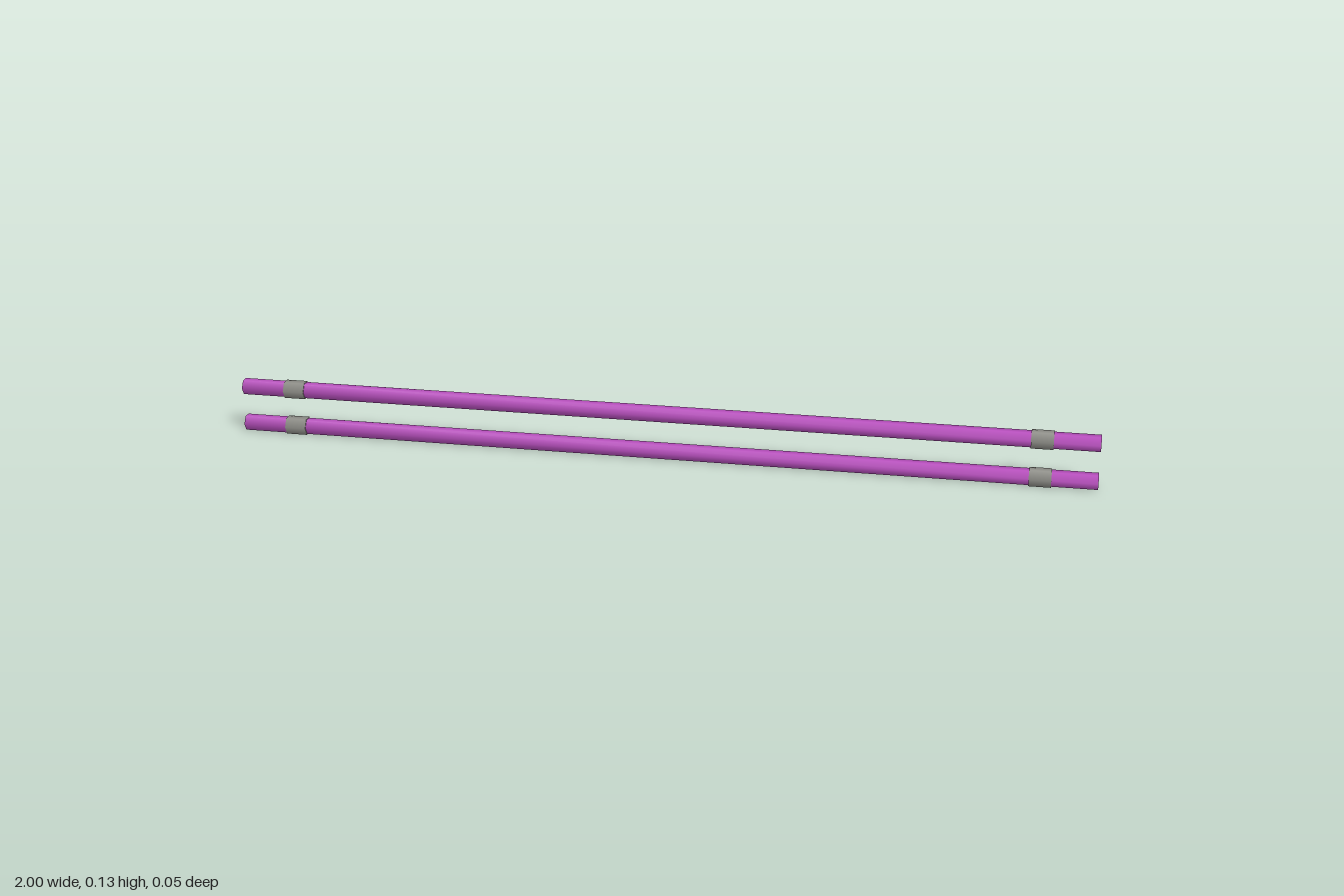
import * as THREE from 'three';
import { mergeVertices } from 'three/addons/utils/BufferGeometryUtils.js';

const purple = new THREE.MeshStandardMaterial({ name: 'purplePipe', color: 0xb84fbe });
const grey = new THREE.MeshStandardMaterial({ name: 'greyMetal', color: 0x8e8e88 });

// Six-sided bar along x, with a corner facing the front and softly shared normals
function hexBar(radius, length) {
  const raw = new THREE.CylinderGeometry(radius, radius, length, 6).rotateZ(Math.PI / 2);
  raw.deleteAttribute('normal');
  raw.deleteAttribute('uv');
  const geometry = mergeVertices(raw);
  geometry.computeVertexNormals();
  return geometry;
}

export function createModel() {
  const model = new THREE.Group();
  model.name = 'pipePair';

  const add = (parent, name, geometry, material, x, y, z) => {
    const mesh = new THREE.Mesh(geometry, material);
    mesh.name = name;
    mesh.position.set(x, y, z);
    parent.add(mesh);
  };

  const axisZ = 0.0055;
  const pipeGeo = hexBar(0.0195, 2);
  const collarGeo = new THREE.CylinderGeometry(0.022, 0.022, 0.05, 6).rotateZ(Math.PI / 2);
  const stubGeo = new THREE.CylinderGeometry(0.0085, 0.0085, 0.03, 12).rotateX(Math.PI / 2);

  for (const [name, y] of [['lowerPipe', 0.02], ['upperPipe', 0.11]]) {
    const rail = new THREE.Group();
    rail.name = name;
    add(rail, 'pipe', pipeGeo, purple, 0, y, axisZ);

    // Clamp collar and wall mount near each end
    for (const side of [-1, 1]) {
      const label = side > 0 ? 'left' : 'right';
      add(rail, label + 'Collar', collarGeo, grey, side * 0.872, y, axisZ);
      add(rail, label + 'Mount', stubGeo, grey, side * 0.872, y, -0.0125);
    }
    model.add(rail);
  }
  return model;
}
